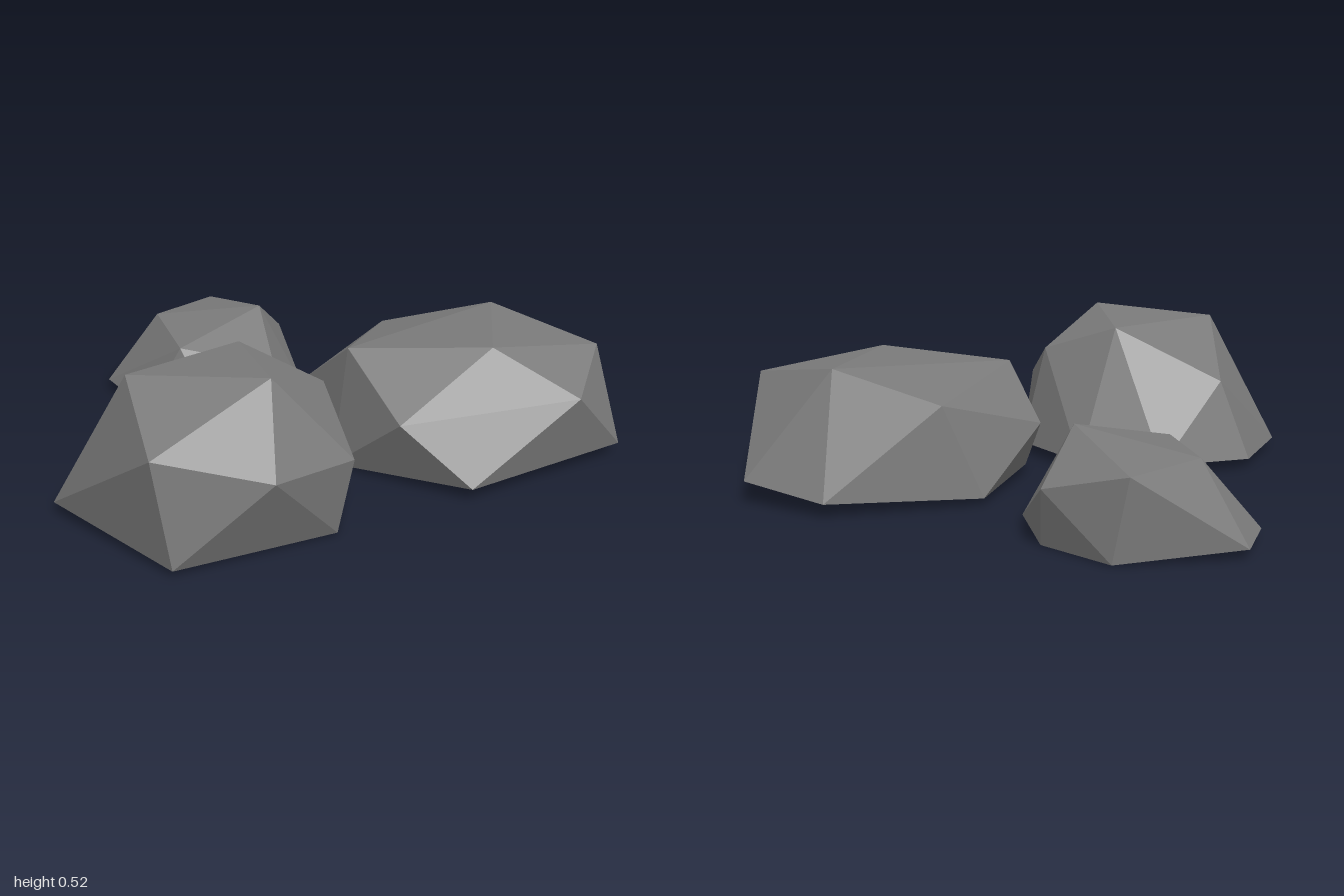
import * as THREE from 'three';
import { ConvexGeometry } from 'three/addons/geometries/ConvexGeometry.js';

// Each boulder is a faceted shell around a few corner points [x, y, z]
const rocks = {
  leftRock: [
    // crown
    [-0.585, 0.525, 0.475], [-0.795, 0.5, 0.065], [-0.325, 0.5, 0.12],
    // shoulders
    [-1, 0.355, 0.36], [-0.23, 0.4, 0.4], [-0.53, 0.32, -0.22],
    [-0.76, 0.28, 0.64], [-0.405, 0.25, 0.66],
    // foot
    [-0.985, 0.02, 0.43], [-0.44, 0.005, 0.625], [-0.155, 0.035, 0.45], [-0.09, 0.04, 0.07],
    [-0.24, 0.05, -0.2], [-0.58, 0.035, -0.32], [-0.895, 0.035, -0.18],
  ],
  frontRock: [
    // crown
    [0.06, 0.41, 0.28], [0.305, 0.44, 0.705], [0.725, 0.45, 0.435], [0.73, 0.38, 0.87],
    // shoulders
    [0.54, 0.35, 0.08], [0.44, 0.28, 0.975], [-0.055, 0.235, 0.585], [0.13, 0.23, 0.04],
    // foot
    [0.715, 0.04, 0.99], [0.04, 0.04, 0.815], [1, 0.08, 0.58],
    [0.91, 0.05, 0.25], [0.43, 0.025, 0], [-0.015, 0.005, 0.28],
  ],
  backRock: [
    // crown
    [0.395, 0.35, -0.4], [0.225, 0.28, -0.785], [0.54, 0.28, -0.785],
    // shoulders
    [0.015, 0.26, -0.465], [0.22, 0.2, -0.18], [0.625, 0.2, -0.49],
    // foot
    [0.23, 0.035, -0.99], [0.04, 0.035, -0.88], [-0.09, 0.03, -0.55], [-0.045, 0.04, -0.24],
    [0.13, 0.03, -0.165], [0.46, 0.025, -0.225], [0.58, 0, -0.44], [0.57, 0.005, -0.74],
  ],
};

// Hull of the corners without its underside, so the rock is a hollow shell
function shell(corners) {
  const hull = new ConvexGeometry(corners.map((c) => new THREE.Vector3(...c)));
  const { position, normal } = hull.attributes;
  const kept = [];
  for (let i = 0; i < position.count; i += 3) {
    if (normal.getY(i) < -0.7) continue;
    for (let j = i; j < i + 3; j++) kept.push(new THREE.Vector3().fromBufferAttribute(position, j));
  }
  const geometry = new THREE.BufferGeometry().setFromPoints(kept);
  geometry.computeVertexNormals();
  return geometry;
}

export function createModel() {
  const group = new THREE.Group();
  group.name = 'rocks';
  const stone = new THREE.MeshStandardMaterial({ color: 0x7a7a7a, flatShading: true, side: THREE.DoubleSide });
  stone.name = 'grey stone';

  for (const [name, corners] of Object.entries(rocks)) {
    const rock = new THREE.Mesh(shell(corners), stone);
    rock.name = name;
    group.add(rock);
  }
  return group;
}
